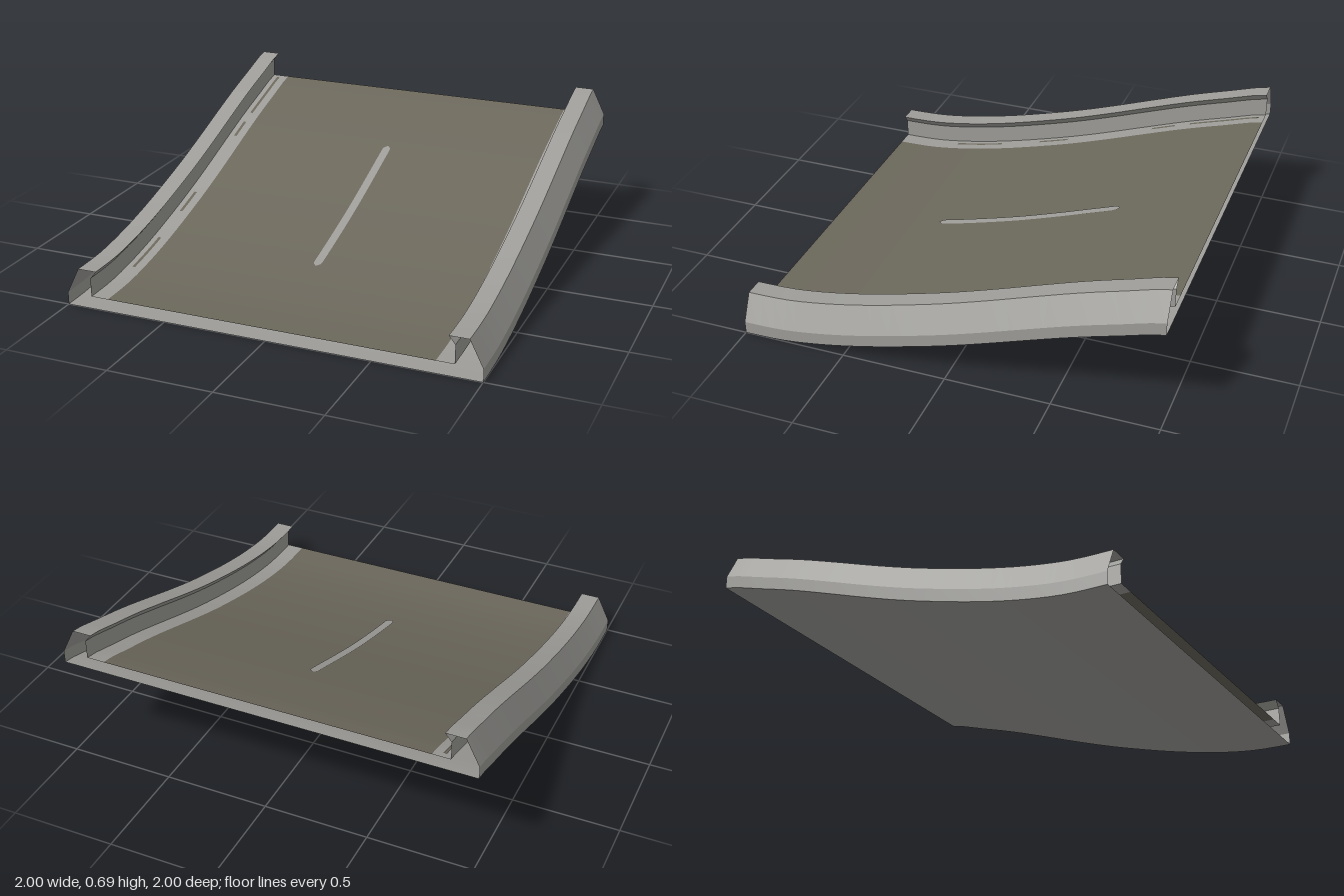
import * as THREE from 'three';

const material = (name, color) => {
  const m = new THREE.MeshStandardMaterial({ color, side: THREE.DoubleSide });
  m.name = name;
  return m;
};

// Height of the underside along the ramp, from the front (z = 1) to the back (z = -1)
const HEIGHTS = [0, 0.006, 0.034, 0.076, 0.128, 0.186, 0.252, 0.322, 0.39, 0.45, 0.505];
const slope = new THREE.SplineCurve(HEIGHTS.map((h, i) => new THREE.Vector2(1 - i * 0.2, h)));
const heightAt = (z) => slope.getPoint((1 - z) / 2).y;

// Sweeps an open cross-section along the ramp; creased across it, smooth along it
function sweep(profile, zFront = 1, zBack = -1, steps = 30, widthAt = () => 1) {
  const pos = [], index = [];
  for (let k = 0; k < profile.length - 1; k++) {
    const base = pos.length / 3;
    for (let i = 0; i <= steps; i++) {
      const z = zFront + (zBack - zFront) * i / steps;
      for (const [x, y] of [profile[k], profile[k + 1]]) pos.push(x * widthAt(z), y + heightAt(z), z);
      if (i < steps) {
        const a = base + i * 2;
        index.push(a, a + 2, a + 1, a + 1, a + 2, a + 3);
      }
    }
  }
  const g = new THREE.BufferGeometry();
  g.setAttribute('position', new THREE.Float32BufferAttribute(pos, 3));
  g.setIndex(index);
  g.computeVertexNormals();
  return g;
}

export function createModel() {
  const group = new THREE.Group();
  const concrete = material('concrete grey', 0x9d9c98);
  const asphalt = material('asphalt', 0x6b675b);
  const add = (name, geometry, mat) => {
    const mesh = new THREE.Mesh(geometry, mat);
    mesh.name = name;
    group.add(mesh);
  };

  // Hollow slab, open at both ends
  add('underside', sweep([[-1, 0], [1, 0]]), concrete);
  add('roadSurface', sweep([[0.79, 0.06], [-0.79, 0.06]]), asphalt);

  // Side barriers with an overhanging inner lip, and the pale edge line at their foot
  const barrier = [[1, 0], [1, 0.06], [0.937, 0.187], [0.845, 0.187], [0.875, 0.15], [0.875, 0.06]];
  const edge = [[0.875, 0.06], [0.79, 0.06]];
  const mirror = (p) => p.map(([x, y]) => [-x, y]).reverse();
  add('leftBarrier', sweep(barrier), concrete);
  add('rightBarrier', sweep(mirror(barrier)), concrete);
  add('leftEdgeLine', sweep(edge), concrete);
  add('rightEdgeLine', sweep(mirror(edge)), concrete);

  // Worn patches beside the right barrier
  for (const [z0, z1] of [[-0.62, -0.97], [-0.42, -0.54], [0.2, 0.04], [0.68, 0.42]]) {
    add('wornPatch', sweep([[-0.83, 0.063], [-0.845, 0.063]], z0, z1, 6), asphalt);
  }

  // Centre dash with rounded ends
  const taper = (z) => Math.sqrt(Math.max(0, Math.min(1, (0.47 - Math.abs(z + 0.03)) / 0.025)));
  add('centreDash', sweep([[0.02, 0.064], [-0.02, 0.064]], 0.44, -0.5, 60, taper), concrete);

  return group;
}
